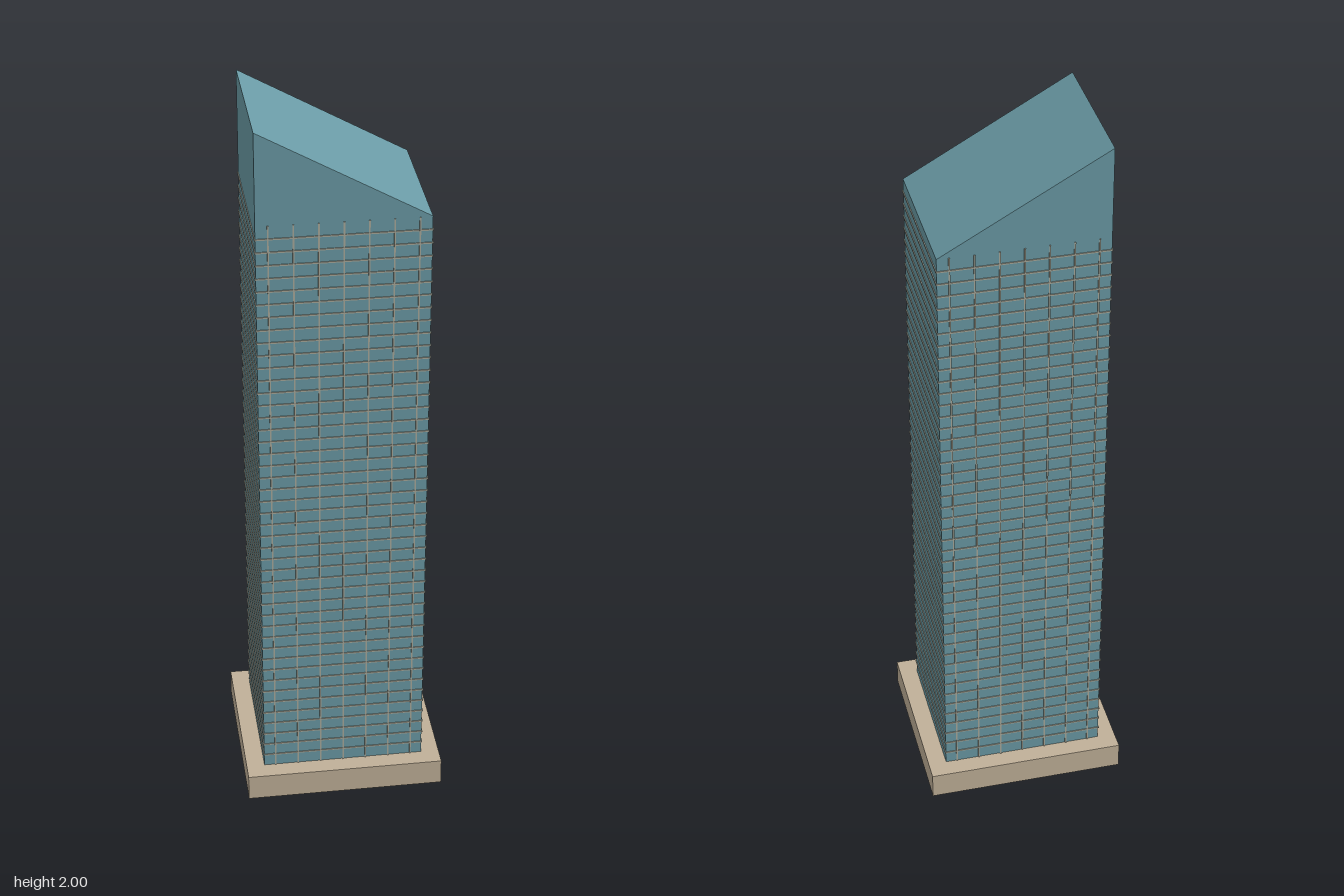
import * as THREE from 'three';

const W = 0.445, D = 0.4, BASE = 0.075, EAVE = 1.75, TOP = 2;

export function createModel() {
  const model = new THREE.Group();
  const glass = new THREE.MeshStandardMaterial({ color: 0x6a9aa5 });
  const stone = new THREE.MeshStandardMaterial({ color: 0xc0b098 });
  const trim = new THREE.MeshStandardMaterial({ color: 0xa9aa9c });

  const add = (name, geometry, material, x, y, z, parent = model) => {
    const mesh = new THREE.Mesh(geometry, material);
    mesh.name = name;
    mesh.position.set(x, y, z);
    parent.add(mesh);
    return mesh;
  };

  // Plinth
  add('plinth', new THREE.BoxGeometry(0.545, BASE, 0.5), stone, 0, BASE / 2, 0);

  // Tower shaft with its single-slope roof, highest on the right
  const profile = new THREE.Shape([
    new THREE.Vector2(-W / 2, BASE),
    new THREE.Vector2(W / 2, BASE),
    new THREE.Vector2(W / 2, EAVE),
    new THREE.Vector2(-W / 2, TOP),
  ]);
  add('tower', new THREE.ExtrudeGeometry(profile, { depth: D, bevelEnabled: false }), glass, 0, 0, -D / 2);

  // Thin floor bands wrapping all four sides
  const floors = new THREE.Group();
  floors.name = 'floorBands';
  model.add(floors);
  const pitch = (EAVE - BASE) / 46;
  const band = new THREE.BoxGeometry(W + 0.005, 0.004, D + 0.005);
  for (let i = 1; i < 46; i++) add('floorBand', band, trim, 0, BASE + i * pitch, 0, floors);

  // Vertical mullions on the front and back
  const mullions = new THREE.Group();
  mullions.name = 'mullions';
  model.add(mullions);
  const bar = new THREE.BoxGeometry(0.004, EAVE - BASE, 0.004);
  for (let i = -3; i <= 3; i++) {
    for (const side of [-1, 1]) {
      add('mullion', bar, trim, i * W / 7, (BASE + EAVE) / 2, side * (D / 2 + 0.001), mullions);
    }
  }
  return model;
}
